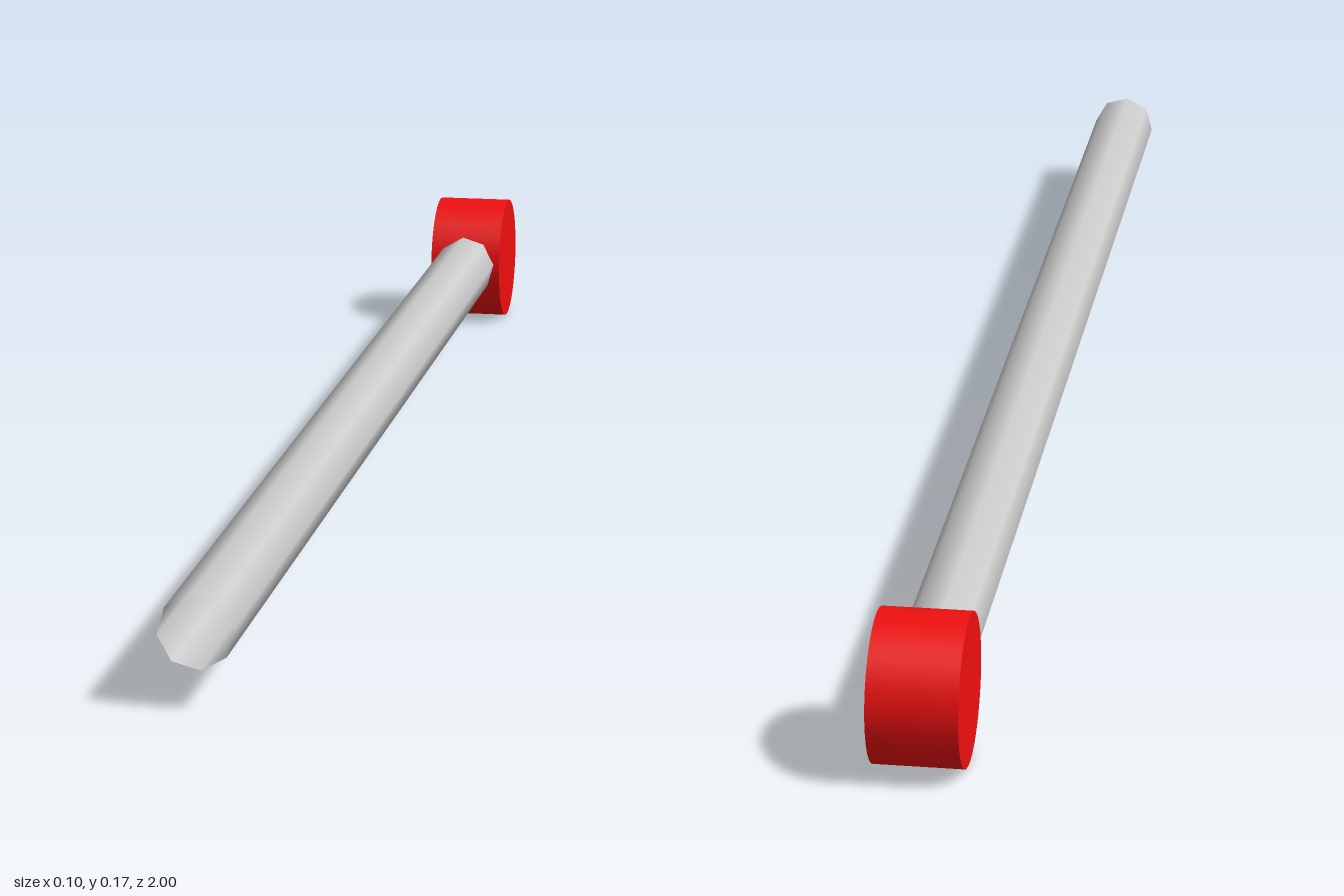
import * as THREE from 'three';

export function createModel() {
  const model = new THREE.Group();

  // Handle: open eight-sided tube running along z, its end sunk into the head
  const front = 1, back = -0.85;
  const handleGeometry = new THREE.CylinderGeometry(
    0.042, 0.042, front - back, 8, 1, true, THREE.MathUtils.degToRad(7));
  handleGeometry.rotateX(Math.PI / 2);
  const handle = new THREE.Mesh(handleGeometry, new THREE.MeshStandardMaterial({
    color: 0xcccccc, side: THREE.DoubleSide,
  }));
  handle.name = 'handle';
  handle.position.set(0, 0.086, (front + back) / 2);
  model.add(handle);

  // Head: short round drum lying across the handle
  const headGeometry = new THREE.CylinderGeometry(0.085, 0.085, 0.1, 32);
  headGeometry.rotateZ(Math.PI / 2);
  const head = new THREE.Mesh(headGeometry, new THREE.MeshStandardMaterial({ color: 0xf01010 }));
  head.name = 'head';
  head.position.set(0, 0.085, -0.915);
  model.add(head);

  return model;
}
